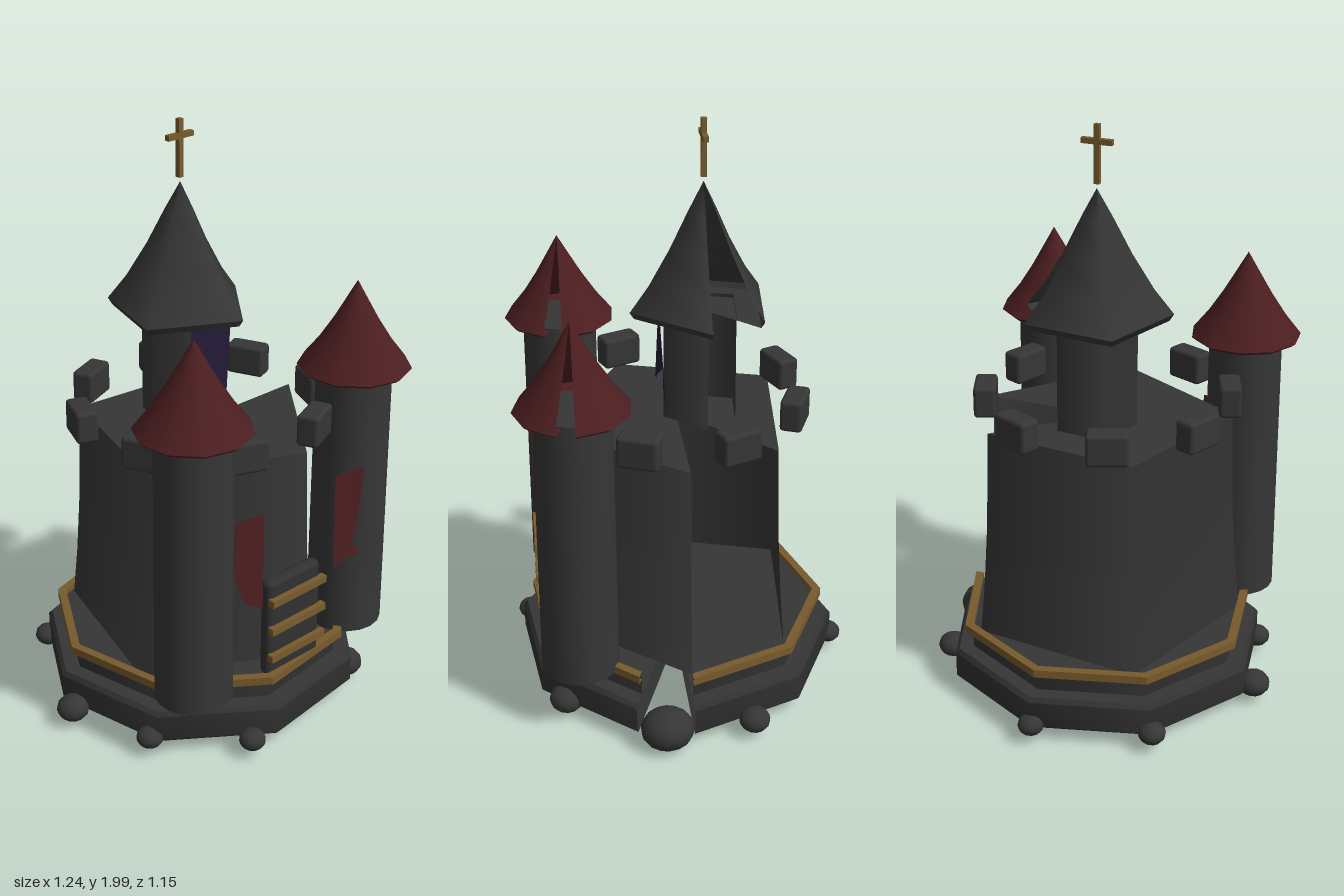
import * as THREE from 'three';
import { RoundedBoxGeometry } from 'three/addons/geometries/RoundedBoxGeometry.js';

const RAD = Math.PI / 180;
const material = (name, color) =>
  new THREE.MeshStandardMaterial({ name, color, side: THREE.DoubleSide });

export function createModel() {
  const model = new THREE.Group();
  model.name = 'ruinedCastle';
  const stone = material('stone', 0x363636);
  const darkStone = material('dark stone', 0x313131);
  const red = material('red cloth and tile', 0x4c1e20);
  const gold = material('old gold', 0x785b2c);
  const purple = material('purple glass', 0x251a38);

  const add = (name, geometry, mat, x = 0, y = 0, z = 0) => {
    const mesh = new THREE.Mesh(geometry, mat);
    mesh.name = name;
    mesh.position.set(x, y, z);
    model.add(mesh);
    return mesh;
  };
  // Turned shell with a broken-out wedge, from [radius, height] points
  const shell = (points, { sides, start, sweep }) => new THREE.LatheGeometry(
    points.map(([r, y]) => new THREE.Vector2(r, y)), sides, start * RAD, sweep * RAD);
  // Flat disc with the same missing wedge
  const disc = (name, r, { sides, start, sweep }, mat, x, y, z) => add(name,
    new THREE.CylinderGeometry(r, r, 0.006, sides, 1, false, start * RAD, sweep * RAD), mat, x, y, z);

  // How each kind of round part is broken open
  const baseCut = { sides: 8, start: 90, sweep: 340 };
  const tileCut = { sides: 10, start: 90, sweep: 340 };
  const keepCut = { sides: 4, start: 135, sweep: 315 };

  // Stepped foundation, open at the front left
  const cz = 0.017;
  const base = (name, points, mat) => add(name, shell(points, baseCut), mat, 0, 0, cz);
  disc('foundationBottom', 0.545, baseCut, darkStone, 0, 0.055, cz);
  base('foundationEdge', [[0.545, 0.052], [0.558, 0.065], [0.558, 0.155]], darkStone);
  base('foundationBevel', [[0.558, 0.155], [0.545, 0.17]], darkStone);
  disc('foundationTop', 0.545, baseCut, stone, 0, 0.167, cz);
  base('upperStepEdge', [[0.492, 0.167], [0.492, 0.24]], darkStone);
  disc('upperStepTop', 0.492, baseCut, stone, 0, 0.237, cz);
  const trim = base('goldTrim',
    [[0.49, 0.232], [0.52, 0.232], [0.52, 0.26], [0.49, 0.26], [0.49, 0.232]], gold);
  trim.geometry = trim.geometry.toNonIndexed();
  trim.geometry.computeVertexNormals();

  // Boulders: x, z, radius
  const boulders = [
    [0.043, -0.535, 0.045], [-0.347, -0.425, 0.047], [-0.565, -0.01, 0.056],
    [0.513, -0.19, 0.053], [-0.48, 0.29, 0.046], [-0.24, 0.53, 0.045], [0.32, 0.43, 0.06],
  ];
  boulders.forEach(([x, z, r]) =>
    add('boulder', new THREE.SphereGeometry(r, 12, 8), stone, x, 0.07, z).scale.y = 0.8);
  add('largeBoulder', new THREE.SphereGeometry(0.09, 14, 10), stone, 0.537, 0.078, 0.108)
    .scale.set(0.92, 0.8, 1);

  // Keep: coarse four-wall shell with one wall and roof sector missing
  add('keepWall', shell([[0.47, 0.24], [0.452, 0.42], [0.436, 0.65], [0.425, 0.98]], keepCut),
    stone, 0, 0, cz);
  disc('keepRoof', 0.425, keepCut, stone, 0, 0.98, cz);

  // Battlements
  for (let i = 0; i < 8; i++) {
    const a = (22.5 + i * 45) * RAD;
    add('battlement', new RoundedBoxGeometry(0.138, 0.11, 0.075, 2, 0.013), stone,
      -0.003 + 0.41 * Math.sin(a), 1.05, cz + 0.41 * Math.cos(a)).rotation.y = a;
  }

  // Front towers with broken tiled roofs
  for (const x of [-0.366, 0.354]) {
    const z = 0.38;
    add('towerWall', new THREE.CylinderGeometry(0.126, 0.13, 0.96, 18), stone, x, 0.72, z);
    add('towerRoof', shell([[0.19, 1.2], [0.135, 1.27], [0.083, 1.35], [0.037, 1.43], [0, 1.495]], tileCut),
      red, x, 0, z);
    add('towerEaves', shell([[0.175, 1.188], [0.19, 1.2]], tileCut), red, x, 0, z);
    disc('towerRoofBottom', 0.175, tileCut, red, x, 1.191, z);
  }

  // Central turret and its spire
  const tz = -0.075;
  add('turretWall', shell([[0.138, 0.98], [0.136, 1.37]], keepCut), stone, 0, 0, tz);
  add('spireRoof', shell([[0.25, 1.375], [0.185, 1.46], [0.113, 1.58], [0.052, 1.7], [0, 1.795]], keepCut),
    stone, -0.004, 0, tz);
  add('spireEaves', shell([[0.235, 1.352], [0.25, 1.375]], keepCut), stone, -0.004, 0, tz);
  disc('spireBottom', 0.235, keepCut, stone, -0.004, 1.355, tz);

  // Finial cross
  add('crossPost', new THREE.BoxGeometry(0.018, 0.19, 0.018), gold, -0.006, 1.905, tz);
  add('crossBar', new THREE.BoxGeometry(0.106, 0.018, 0.018), gold, -0.006, 1.945, tz);

  // Torn sheets, gently rippled in depth
  const sheet = (name, points, mat, z, ripple) => {
    const shape = new THREE.Shape(points.map(([x, y]) => new THREE.Vector2(x, y)));
    const geometry = new THREE.ShapeGeometry(shape);
    const p = geometry.attributes.position;
    for (let i = 0; i < p.count; i++) p.setZ(i, z + ripple * Math.sin(p.getX(i) * 30 + p.getY(i) * 14));
    geometry.computeVertexNormals();
    add(name, geometry, mat);
  };
  sheet('brokenWindow', [[-0.085, 1.355], [-0.085, 1.07], [-0.03, 1.105], [0.02, 1.16],
    [0.04, 1.09], [0.08, 1.055], [0.08, 1.355]], purple, 0.07, 0.012);
  add('windowLintel', new THREE.BoxGeometry(0.13, 0.016, 0.06), gold, 0, 1.35, -0.005);
  sheet('rightBanner', [[-0.295, 0.89], [-0.305, 0.78], [-0.305, 0.7], [-0.255, 0.585],
    [-0.178, 0.538], [-0.178, 0.89]], red, 0.497, 0.008);
  sheet('leftBanner', [[0.163, 0.89], [0.163, 0.542], [0.225, 0.575], [0.3, 0.545],
    [0.258, 0.605], [0.28, 0.69], [0.29, 0.89]], red, 0.497, 0.008);

  // Door with gold straps
  add('door', new RoundedBoxGeometry(0.24, 0.36, 0.05, 2, 0.02), darkStone, -0.01, 0.42, 0.465);
  for (const y of [0.32, 0.425, 0.532])
    add('doorStrap', new THREE.BoxGeometry(0.25, 0.025, 0.024), gold, -0.008, y, 0.498);

  return model;
}
